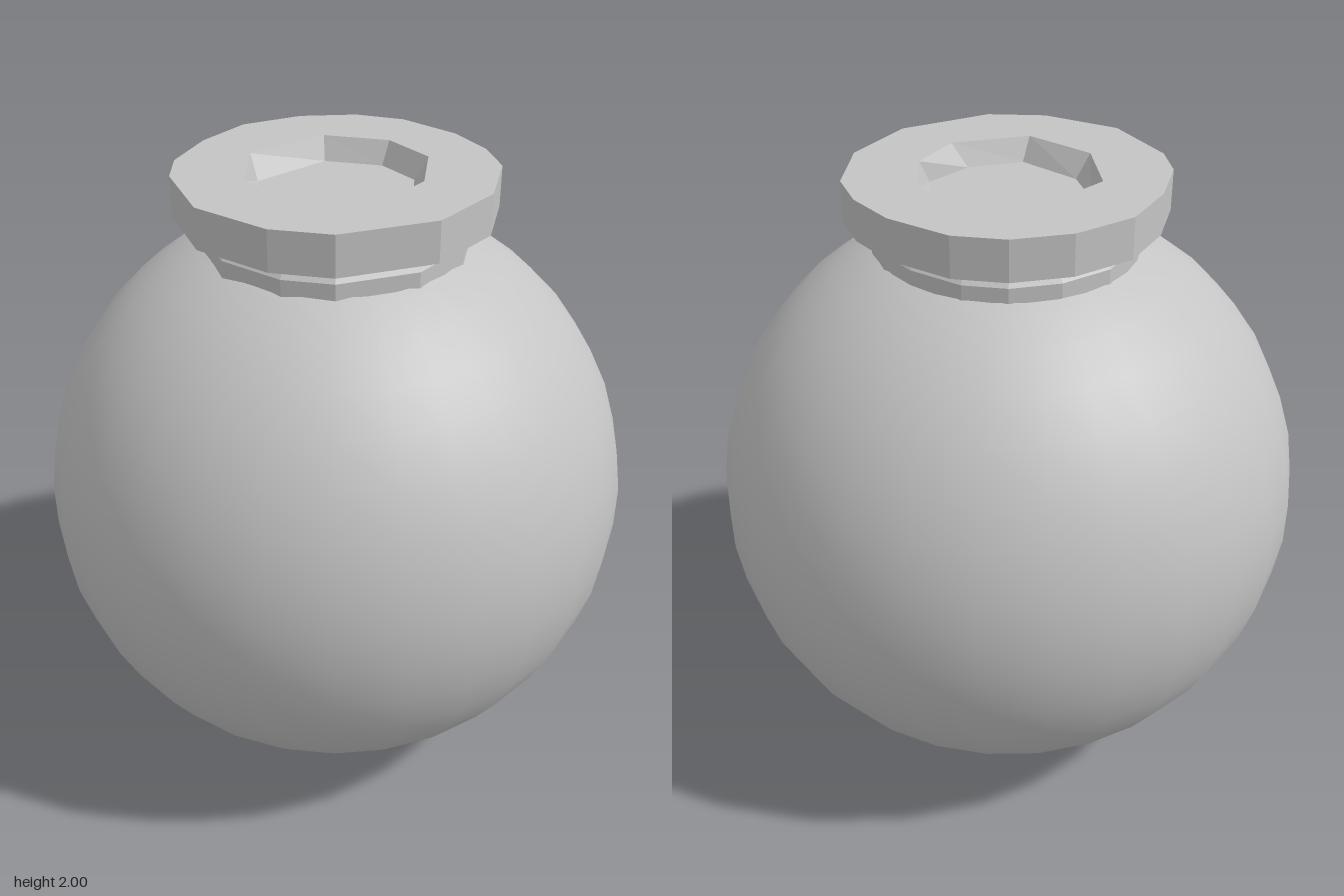
import * as THREE from 'three';

// Uneven hand-cut outlines as [x, z], clockwise seen from above
const rim = [[0, -0.47], [0.16, -0.45], [0.29, -0.39], [0.43, -0.22], [0.48, 0.02], [0.38, 0.3], [0.24, 0.42],
  [0, 0.49], [-0.24, 0.42], [-0.34, 0.34], [-0.43, 0.18], [-0.475, 0], [-0.43, -0.19], [-0.33, -0.34], [-0.2, -0.43]];
const recessTop = [[-0.08, -0.27], [0.1, -0.27], [0.24, -0.13], [0.28, 0.04], [0.15, 0.25], [-0.08, 0.27], [-0.25, 0.13], [-0.24, -0.14]];
const recessFloor = [[-0.07, -0.235], [0.08, -0.235], [0.23, -0.1], [0.23, 0.06], [0.14, 0.21], [-0.07, 0.22], [-0.2, 0.14], [-0.21, -0.12]];

const scaled = (outline, s) => outline.map(([x, z]) => [x * s, z * s]);

// Walls joining successive [outline, height] rings
function loft(rings) {
  const pos = [];
  for (let i = 0; i < rings.length - 1; i++) {
    const [lo, y0] = rings[i], [hi, y1] = rings[i + 1];
    lo.forEach((p, j) => {
      const k = (j + 1) % lo.length;
      const a = [p[0], y0, p[1]], b = [lo[k][0], y0, lo[k][1]];
      const c = [hi[k][0], y1, hi[k][1]], d = [hi[j][0], y1, hi[j][1]];
      pos.push(...a, ...d, ...c, ...a, ...c, ...b);
    });
  }
  const g = new THREE.BufferGeometry();
  g.setAttribute('position', new THREE.Float32BufferAttribute(pos, 3));
  g.computeVertexNormals();
  return g;
}

// Horizontal upward face, optionally with a hole
function plate(outline, y, hole) {
  const toPoints = o => o.map(([x, z]) => new THREE.Vector2(x, -z));
  const shape = new THREE.Shape(toPoints(outline));
  if (hole) shape.holes.push(new THREE.Path(toPoints(hole)));
  return new THREE.ShapeGeometry(shape).rotateX(-Math.PI / 2).translate(0, y, 0);
}

export function createModel() {
  const model = new THREE.Group();
  const grey = new THREE.MeshStandardMaterial({ color: 0xc4c4c4 });
  grey.name = 'light grey';
  const add = (name, geometry, parent = model) => {
    const mesh = new THREE.Mesh(geometry, grey);
    mesh.name = name;
    parent.add(mesh);
    return mesh;
  };

  // Smooth round body, open beneath the neck
  const start = 0.44;
  add('body', new THREE.SphereGeometry(0.932, 28, 18, 0, Math.PI * 2, start, Math.PI - start)).position.y = 0.932;

  // Short collar that tucks in below the lid
  add('neck', loft([
    [scaled(rim, 0.84), 1.74], [scaled(rim, 0.84), 1.82], [scaled(rim, 0.77), 1.86]
  ]));

  // Lid with a bevelled underside and a shallow recess
  const lid = new THREE.Group();
  lid.name = 'lid';
  model.add(lid);
  add('lidSide', loft([[scaled(rim, 0.7), 1.85], [scaled(rim, 0.87), 1.85], [rim, 1.875], [rim, 2]]), lid);
  add('lidTop', plate(rim, 2, recessTop), lid);
  add('recessWall', loft([[recessTop, 2], [recessFloor, 1.93]]), lid);
  add('recessFloor', plate(recessFloor, 1.93), lid);

  return model;
}
